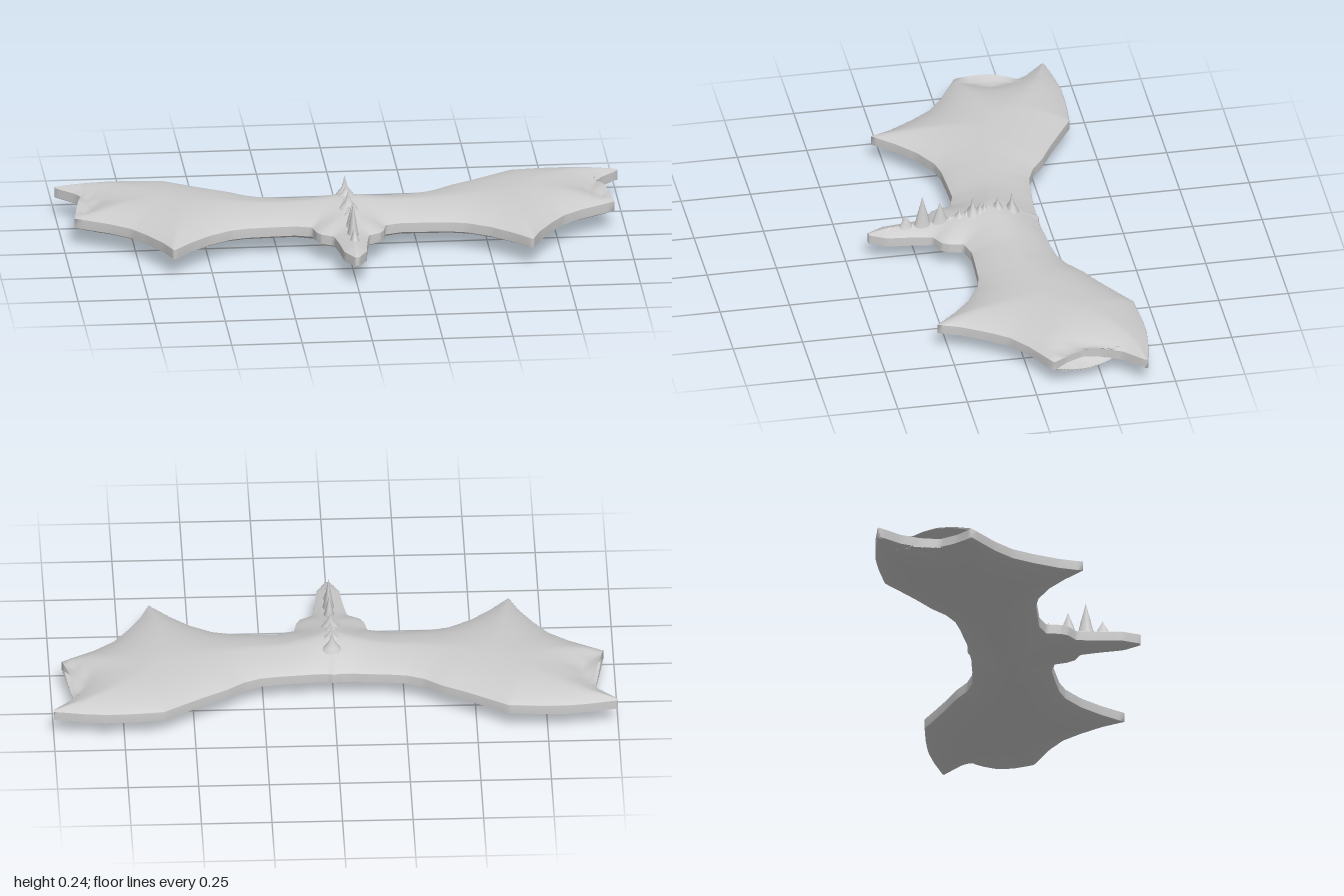
import * as THREE from 'three';

const MID = 0.087;  // height of the flat middle plane
const RIM = 0.017;  // half thickness along the outline

// Half outline in pairs: front edge x, z and the matching back edge x, z.
const HALF = [
  [0.008, 0.42, 0.004, -0.195], [0.04, 0.36, 0.02, -0.19], [0.05, 0.27, 0.03, -0.19],
  [0.062, 0.2, 0.04, -0.19], [0.105, 0.175, 0.07, -0.19], [0.12, 0.15, 0.09, -0.192],
  [0.13, 0.1, 0.12, -0.195], [0.19, 0.082, 0.19, -0.2], [0.27, 0.085, 0.26, -0.21],
  [0.36, 0.09, 0.32, -0.235], [0.42, 0.105, 0.38, -0.28], [0.5, 0.152, 0.46, -0.325],
  [0.57, 0.215, 0.54, -0.375], [0.638, 0.29, 0.61, -0.42], [0.67, 0.21, 0.66, -0.424],
  [0.72, 0.125, 0.71, -0.428], [0.77, 0.055, 0.76, -0.43], [0.84, 0, 0.82, -0.43],
  [0.96, -0.07, 0.89, -0.422], [0.915, -0.125, 0.91, -0.419], [0.885, -0.19, 0.93, -0.415],
  [0.9, -0.26, 0.95, -0.411], [0.935, -0.325, 0.97, -0.407], [1, -0.39, 1, -0.402],
];
const STATIONS = [...HALF.slice().reverse().map(([a, b, c, d]) => [-a, b, -c, d]), ...HALF];
const EDGES = [];
for (let i = 1; i < STATIONS.length; i++) {
  const p = STATIONS[i - 1], q = STATIONS[i];
  EDGES.push([p[0], p[1], q[0], q[1]], [p[2], p[3], q[2], q[3]]);
}

function distanceToOutline(x, z) {
  let best = Infinity;
  for (const [ax, az, bx, bz] of EDGES) {
    const dx = bx - ax, dz = bz - az;
    const t = THREE.MathUtils.clamp(((x - ax) * dx + (z - az) * dz) / (dx * dx + dz * dz), 0, 1);
    best = Math.min(best, Math.hypot(x - ax - t * dx, z - az - t * dz));
  }
  return best;
}

// Thickness swells away from the outline, and more over the torso.
function halfThickness(x, z) {
  const torso = Math.exp(-((x / 0.13) ** 2) - ((z + 0.05) / 0.12) ** 2);
  const swell = 1 - Math.exp(-distanceToOutline(x, z) / 0.09);
  return RIM + swell * (0.053 + 0.03 * torso);
}

// Closed cross-sections running from the back edge to the front edge and under again.
function bodyGeometry() {
  const SUB = 4, N = 28, ring = 2 * (N + 1);
  const pos = [], idx = [];
  const sections = (STATIONS.length - 1) * SUB + 1;
  for (let s = 0; s < sections; s++) {
    const i = Math.min(Math.floor(s / SUB), STATIONS.length - 2), t = s / SUB - i;
    const [fx, fz, bx, bz] = STATIONS[i].map((v, k) => v + (STATIONS[i + 1][k] - v) * t);
    for (let j = 0; j < ring; j++) {
      const top = j <= N, step = top ? j : ring - 1 - j;
      const v = (1 - Math.cos((Math.PI * step) / N)) / 2;
      const x = bx + (fx - bx) * v, z = bz + (fz - bz) * v;
      pos.push(x, MID + (top ? 1 : -1) * halfThickness(x, z), z);
    }
  }
  for (let s = 0; s < sections - 1; s++) {
    for (let j = 0; j < ring; j++) {
      const a = s * ring + j, b = s * ring + ((j + 1) % ring);
      idx.push(a, b, a + ring, b, b + ring, a + ring);
    }
  }
  // Flat ends at the wing tips
  const last = (sections - 1) * ring;
  for (let j = 1; j < ring - 1; j++) {
    idx.push(0, j + 1, j, last, last + j, last + j + 1);
  }
  const g = new THREE.BufferGeometry();
  g.setAttribute('position', new THREE.Float32BufferAttribute(pos, 3));
  g.setIndex(idx);
  g.computeVertexNormals();
  return g;
}

// Spikes along the middle: z, tip height, half width in x, half length in z.
const SPIKES = [
  [0.345, 0.125, 0.018, 0.04], [0.285, 0.168, 0.02, 0.032], [0.225, 0.242, 0.022, 0.034],
  [0.162, 0.21, 0.022, 0.034], [0.125, 0.155, 0.025, 0.03], [0.092, 0.176, 0.03, 0.024],
  [0.067, 0.17, 0.03, 0.02], [0.044, 0.222, 0.038, 0.026], [0.018, 0.196, 0.032, 0.02],
  [0.002, 0.193, 0.03, 0.018], [-0.046, 0.212, 0.038, 0.024], [-0.097, 0.227, 0.04, 0.026],
];

function spike([z, tip, rx, rz], material) {
  const base = MID + halfThickness(0, z) - 0.012;
  // Concave flanks on the back, straighter ones on the head
  const flare = z > 0.14 ? 0.52 : 0.3;
  const profile = [[1, 0], [0.72, 0.2], [flare, 0.45], [flare * 0.45, 0.72], [0, 1]];
  const g = new THREE.LatheGeometry(profile.map(([r, y]) => new THREE.Vector2(r, y)), 10);
  const mesh = new THREE.Mesh(g, material);
  mesh.scale.set(rx, tip - base, rz);
  mesh.position.set(0.003, base, z);
  mesh.name = z > 0.14 ? 'headSpike' : 'backSpike';
  return mesh;
}

export function createModel() {
  const group = new THREE.Group();
  group.name = 'wingedCreature';
  const material = new THREE.MeshStandardMaterial({ color: 0xcccccc });

  const body = new THREE.Mesh(bodyGeometry(), material);
  body.name = 'bodyAndWings';
  group.add(body);

  const spikes = new THREE.Group();
  spikes.name = 'spineCrest';
  for (const s of SPIKES) spikes.add(spike(s, material));
  group.add(spikes);
  return group;
}
